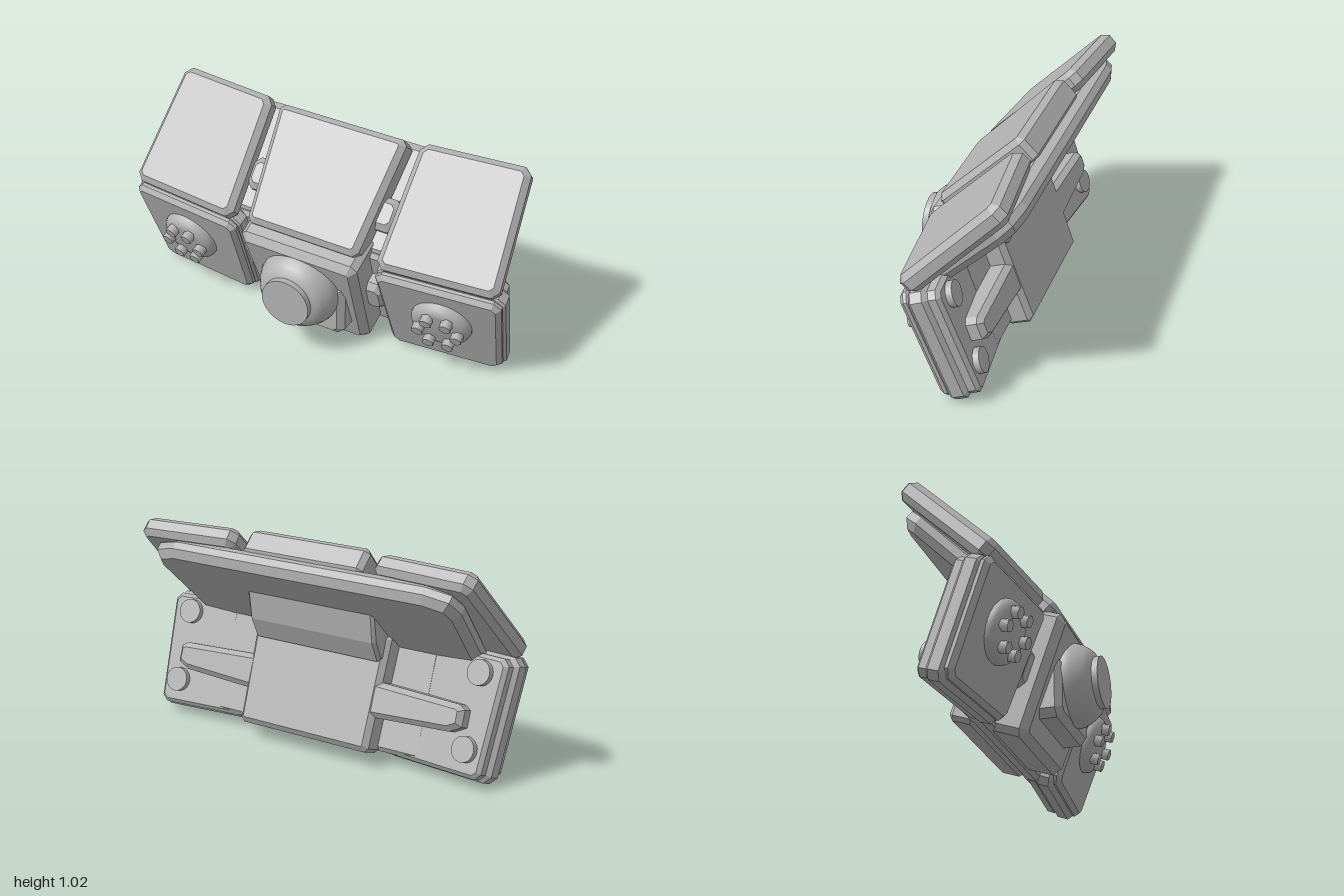
import * as THREE from 'three';

const grey = new THREE.MeshStandardMaterial({ color: 0xb2b2b2 });
grey.name = 'grey';

const LOWER_TILT = THREE.MathUtils.degToRad(20);
const UPPER_TILT = THREE.MathUtils.degToRad(-45);

function add(parent, name, geometry) {
  const mesh = new THREE.Mesh(geometry, grey);
  mesh.name = name;
  parent.add(mesh);
  return mesh;
}

// Chamfered slab from an outline, filling z from back to front
function slab(points, back, front, bevel) {
  const shape = new THREE.Shape(points.map(([x, y]) => new THREE.Vector2(x, y)));
  const g = new THREE.ExtrudeGeometry(shape, {
    depth: front - back - 2 * bevel, bevelEnabled: true, bevelSegments: 1,
    bevelSize: bevel, bevelThickness: bevel, bevelOffset: -bevel,
  });
  g.translate(0, 0, back + bevel);
  return g;
}

// Tapered outline with cut corners: bottom from l0 to r0, top from l1 to r1
function outline(l0, r0, l1, r1, y0, y1, cut, s = 1) {
  return [
    [l0 + cut, y0], [r0 - cut, y0], [r0, y0 + cut], [r1, y1 - cut],
    [r1 - cut, y1], [l1 + cut, y1], [l1, y1 - cut], [l0, y0 + cut],
  ].map(([x, y]) => [x * s, y]);
}

// Group leaning by tilt, then turned sideways by yaw so its edges stay level
function leaning(parent, name, tilt, yaw = 0) {
  const g = new THREE.Group();
  g.name = name;
  g.rotation.set(tilt, yaw, 0, 'YXZ');
  parent.add(g);
  return g;
}

function disc(radius, height, sides) {
  return new THREE.CylinderGeometry(radius, radius, height, sides).rotateX(Math.PI / 2);
}

// Smooth turned part facing +z from [radius, z] points
function turned(points, sides) {
  return new THREE.LatheGeometry(points.map(([r, z]) => new THREE.Vector2(r, z)), sides).rotateX(Math.PI / 2);
}

export function createModel() {
  const model = new THREE.Group();
  model.name = 'armourBlock';
  const lower = leaning(model, 'lowerBlocks', LOWER_TILT);
  const upper = leaning(model, 'upperPlates', UPPER_TILT);

  // Central lower block and rear slab
  add(lower, 'centreBlock', slab(outline(-0.29, 0.29, -0.31, 0.31, 0.008, 0.62, 0.03), -0.19, 0.055, 0.035));
  add(lower, 'lowerPanel', slab(outline(-0.6, 0.6, -0.6, 0.6, 0, 0.56, 0.02), -0.2, -0.1, 0.02));
  add(lower, 'rearSlab', slab(outline(-0.37, 0.37, -0.38, 0.38, -0.015, 0.54, 0.02), -0.303, -0.16, 0.025));

  // Central upper plate and rear panel
  add(upper, 'centrePlate', slab(outline(-0.295, 0.295, -0.337, 0.337, 0.29, 0.878, 0.025), 0.45, 0.597, 0.028));
  add(upper, 'rearPanel', slab([
    [-0.8, 0.33], [0.8, 0.33], [0.85, 0.78], [0.82, 0.86], [0.7, 0.898],
    [-0.7, 0.898], [-0.82, 0.86], [-0.85, 0.78],
  ], 0.362, 0.47, 0.035));

  for (const s of [1, -1]) {
    // Lower side block: front lip, main body and backing
    const low = leaning(model, 'lowerSideBlock', LOWER_TILT, s * 0.1);
    low.position.set(s * 0.68, 0, -0.025);
    add(low, 'sideFront', slab(outline(-0.285, 0.275, -0.32, 0.29, 0.01, 0.575, 0.035, s), -0.06, 0, 0.022));
    add(low, 'sideBody', slab(outline(-0.29, 0.285, -0.325, 0.3, -0.012, 0.57, 0.035, s), -0.135, -0.03, 0.025));
    add(low, 'sideBacking', slab(outline(-0.28, 0.265, -0.31, 0.28, -0.002, 0.555, 0.03, s), -0.185, -0.11, 0.018));

    // Round cover with a ring of hexagonal bolts
    const cover = new THREE.Group();
    cover.name = 'boltedCover';
    cover.position.set(0, 0.335, 0);
    low.add(cover);
    add(cover, 'coverDisc', turned([
      [0.148, -0.02], [0.148, 0.012], [0.14, 0.031], [0.122, 0.046], [0.1, 0.053], [0, 0.055],
    ], 28));
    for (let i = 0; i < 6; i++) {
      const a = i * Math.PI / 3;
      add(cover, 'bolt', disc(0.03, 0.05, 6))
        .position.set(Math.cos(a) * 0.095, Math.sin(a) * 0.095, 0.062);
    }

    // Rear bosses and horizontal brace
    for (const [x, y] of [[0.16, 0.47], [0.17, 0.12]]) {
      add(low, 'rearBoss', disc(0.06, 0.06, 20)).position.set(s * x, y, -0.185);
    }
    add(lower, 'rearBrace', slab([
      [0.33, 0.15], [0.76, 0.17], [0.82, 0.2], [0.82, 0.28], [0.79, 0.3], [0.33, 0.32],
    ].map(([x, y]) => [x * s, y]), -0.3, -0.17, 0.025));

    // Upper side plate
    const high = leaning(model, 'upperSidePlate', UPPER_TILT, s * 0.1);
    high.position.set(s * 0.68, 0.392, 0.392);
    add(high, 'sidePlate', slab(outline(-0.27, 0.318, -0.222, 0.312, 0.297, 0.912, 0.035, s), -0.1, 0.005, 0.028));

    // Connectors in the gaps
    add(lower, 'lowerConnector', slab(outline(0.26, 0.39, 0.26, 0.39, 0.22, 0.41, 0.035, s), -0.15, -0.02, 0.03));
    add(upper, 'upperConnector', slab(outline(0.26, 0.4, 0.26, 0.4, 0.45, 0.61, 0.035, s), 0.42, 0.535, 0.03));
  }

  // Rear neck joining the slab and the panel, profile drawn in z and y
  const neck = slab([
    [-0.02, 0.48], [-0.155, 0.49], [-0.2, 0.59], [-0.22, 0.76], [-0.1, 0.72],
  ].map(([z, y]) => [-z, y]), -0.36, 0.36, 0.015);
  add(model, 'rearNeck', neck.rotateY(Math.PI / 2));

  // Upright lens housing
  add(model, 'lensHousing', slab([
    [-0.19, 0.105], [0.19, 0.105], [0.23, 0.14], [0.23, 0.4], [-0.23, 0.4], [-0.23, 0.14],
  ], 0.03, 0.21, 0.03));

  // Rounded lens barrel with a flat front cap
  add(model, 'lensBarrel', turned([
    [0.205, 0.08], [0.205, 0.215], [0.2, 0.24], [0.188, 0.268], [0.17, 0.295], [0.15, 0.317], [0.12, 0.328],
  ], 36)).position.y = 0.335;
  add(model, 'lensCap', disc(0.125, 0.06, 36)).position.set(0, 0.335, 0.325);

  return model;
}
